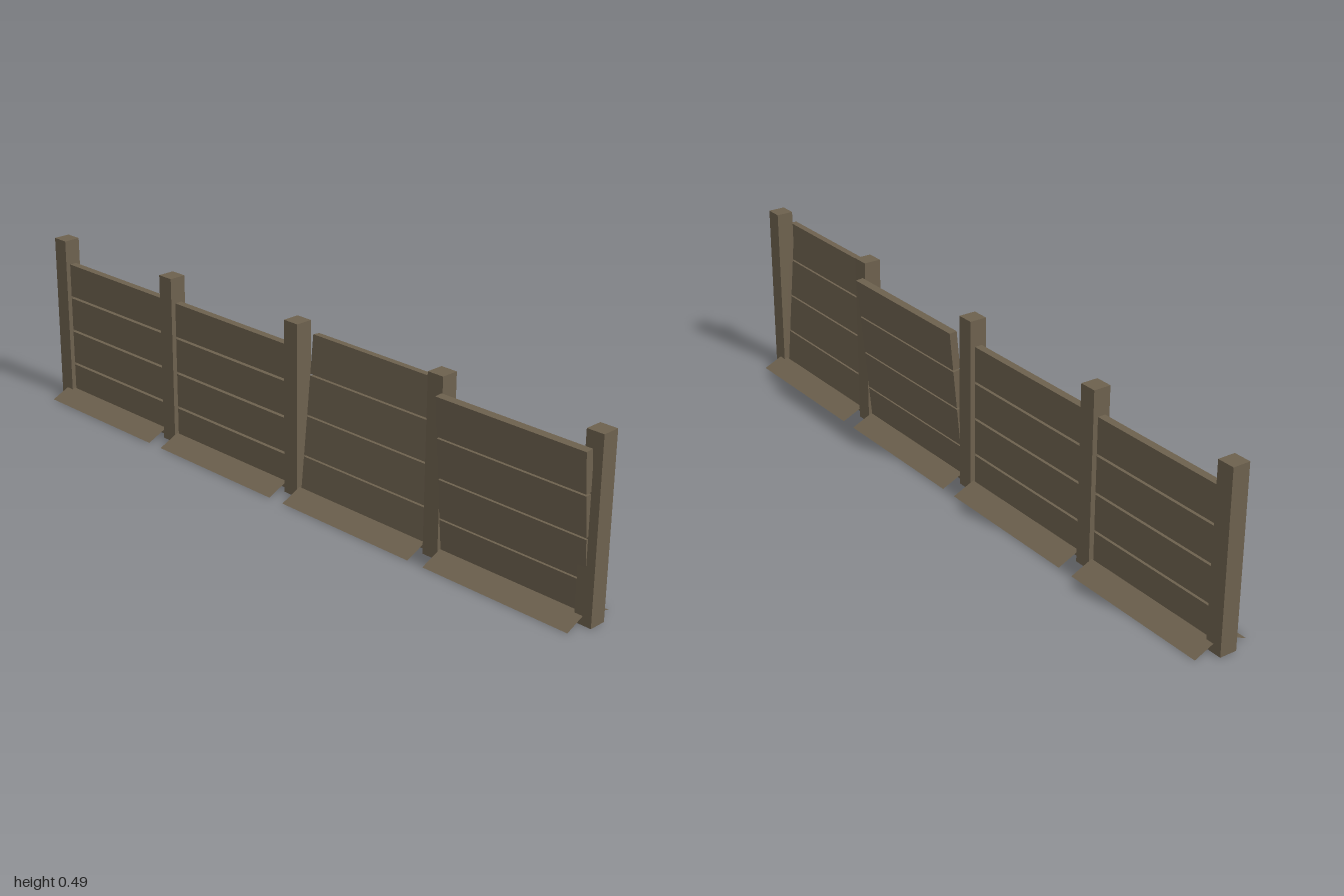
import * as THREE from 'three';

export function createModel() {
  const wood = new THREE.MeshStandardMaterial({ color: 0x6d614e });
  wood.name = 'weatheredWood';
  const skirtWood = wood.clone();
  skirtWood.name = 'weatheredWoodThin';
  skirtWood.side = THREE.DoubleSide;

  const fence = new THREE.Group();
  fence.name = 'fence';

  const add = (parent, name, geometry, material, x = 0, y = 0, z = 0) => {
    const mesh = new THREE.Mesh(geometry, material);
    mesh.name = name;
    mesh.position.set(x, y, z);
    parent.add(mesh);
    return mesh;
  };

  // Square posts
  const postHeight = 0.488;
  const postGeometry = new THREE.BoxGeometry(0.049, postHeight, 0.049);
  [-0.9755, -0.5, 0, 0.5, 0.9755].forEach((x) =>
    add(fence, 'post', postGeometry, wood, x, postHeight / 2, 0));

  // Sloping ground board, one per side of each panel, open underneath
  const width = 0.45;
  const inner = 0.016, outer = 0.079, rise = 0.028;
  const skirtGeometry = new THREE.PlaneGeometry(width, Math.hypot(outer - inner, rise));
  skirtGeometry.rotateX(-Math.PI / 2 + Math.atan2(rise, outer - inner));
  skirtGeometry.translate(0, rise / 2, (inner + outer) / 2);

  // Panels of four planks; two stand upright, one leans back, one forward
  const panels = [
    { x: -0.75, top: 0.415, gap: 0.007, lean: 0 },
    { x: -0.25, top: 0.415, gap: 0.007, lean: 0 },
    { x: 0.25, top: 0.448, gap: 0.005, lean: -0.098 },
    { x: 0.75, top: 0.448, gap: 0.005, lean: 0.09 },
  ];
  for (const { x, top, gap, lean } of panels) {
    const panel = new THREE.Group();
    panel.name = 'panel';
    panel.position.x = x;
    panel.rotation.x = lean;
    fence.add(panel);

    const base = 0.004;
    const pitch = (top - base + gap) / 4;
    const plank = new THREE.BoxGeometry(width, pitch - gap, 0.022);
    for (let i = 0; i < 4; i++) {
      add(panel, 'plank', plank, wood, 0, base + i * pitch + (pitch - gap) / 2, 0);
    }

    add(fence, 'frontSkirt', skirtGeometry, skirtWood, x);
    add(fence, 'backSkirt', skirtGeometry, skirtWood, x).rotation.y = Math.PI;
  }

  return fence;
}
